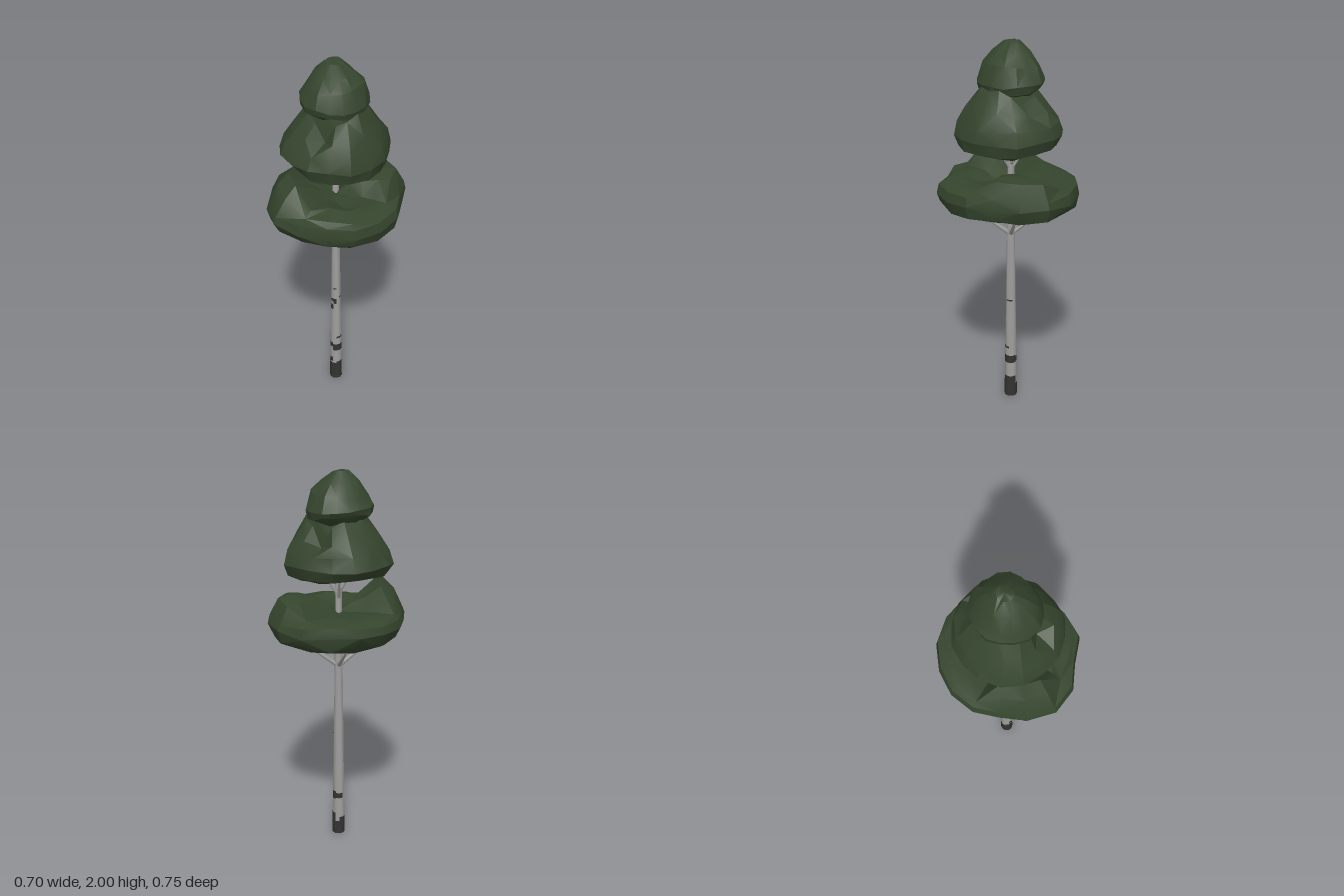
import * as THREE from 'three';
import { toCreasedNormals } from 'three/addons/utils/BufferGeometryUtils.js';

const leaf = new THREE.MeshStandardMaterial({ color: 0x35452d });
leaf.name = 'darkGreenLeaves';
const bark = new THREE.MeshStandardMaterial({ color: 0xa09e9c });
bark.name = 'paleBark';
const scar = new THREE.MeshStandardMaterial({ color: 0x343332 });
scar.name = 'darkBark';

const TX = -0.006, TZ = -0.012; // trunk axis
const SIDES = 10;

function seeded(seed) {
  return () => {
    seed = (seed * 16807) % 2147483647;
    return seed / 2147483647 - 0.5;
  };
}

function part(name, geometry, material) {
  const mesh = new THREE.Mesh(geometry, material);
  mesh.name = name;
  return mesh;
}

// Closed clump: one radial profile per angle, from top centre round to bottom centre.
function clump(name, outline, profile, { x = 0, z = 0, lean = 0, rough, seed }) {
  const n = outline.length, rnd = seeded(seed), pos = [], index = [];
  const rows = profile(0).length;
  for (let j = 0; j < rows; j++) {
    for (let i = 0; i < n; i++) {
      const a = (i / n) * Math.PI * 2;
      const [f, y] = profile(a)[j];
      const r = f * outline[i] * (f > 0.95 ? 1 : 1 + rnd() * rough * 5);
      pos.push(x + Math.cos(a) * r + lean * (1 - f), y + (f === 0 ? 0 : rnd() * rough), z + Math.sin(a) * r);
    }
  }
  for (let j = 0; j < rows - 1; j++) {
    for (let i = 0; i < n; i++) {
      const k = (i + 1) % n;
      const a = j * n + i, b = j * n + k, c = a + n, d = b + n;
      if (j === 0) index.push(a, d, c);
      else if (j === rows - 2) index.push(a, b, c);
      else if ((i + j) % 2) index.push(a, b, c, b, d, c);
      else index.push(a, b, d, a, d, c);
    }
  }
  const g = new THREE.BufferGeometry();
  g.setAttribute('position', new THREE.Float32BufferAttribute(pos, 3));
  g.setIndex(index);
  return part(name, toCreasedNormals(g, 0.45), leaf);
}

const trunkRadius = (y) => (y < 1 ? 0.034 - 0.013 * y : 0.021 - 0.012 * (y - 1));

// Tapered limb running between two points.
function limb(name, from, to, r0, r1) {
  const a = new THREE.Vector3(...from), b = new THREE.Vector3(...to);
  const dir = b.clone().sub(a);
  const mesh = part(name, new THREE.CylinderGeometry(r1, r0, dir.length(), 6), bark);
  mesh.position.copy(a).addScaledVector(dir, 0.5);
  mesh.quaternion.setFromUnitVectors(new THREE.Vector3(0, 1, 0), dir.normalize());
  return mesh;
}

// Thin dark patch hugging the trunk; whole facets so it follows the bark.
function barkPatch(y, h, firstSide, count) {
  const step = (Math.PI * 2) / SIDES;
  const g = new THREE.CylinderGeometry(trunkRadius(y + h) + 0.001, trunkRadius(y) + 0.001, h,
    count, 1, true, firstSide * step, count * step);
  const mesh = part('barkPatch', g, scar);
  mesh.position.set(TX, y + h / 2, TZ);
  return mesh;
}

export function createModel() {
  const tree = new THREE.Group();
  tree.name = 'tree';

  // Trunk with a dark underside
  const trunkProfile = [[0.034, 0], [0.021, 1], [0.014, 1.58], [0, 1.58]]
    .map(([r, y]) => new THREE.Vector2(r, y));
  const trunk = part('trunk', toCreasedNormals(new THREE.LatheGeometry(trunkProfile, SIDES), 0.7), bark);
  trunk.position.set(TX, 0, TZ);
  const foot = part('trunkFoot', new THREE.CircleGeometry(0.035, SIDES), scar);
  foot.rotation.x = Math.PI / 2;
  foot.position.set(TX, 0, TZ);
  tree.add(trunk, foot);

  // Dark base and scars: height, length, first facet, facets covered
  const patches = [
    [0, 0.075, 0, 10], [0.075, 0.04, 8, 3], [0.075, 0.05, 1, 4], [0.075, 0.025, 6, 2],
    [0.125, 0.03, 9, 1], [0.21, 0.045, 0, 5], [0.235, 0.03, 8, 2], [0.215, 0.03, 5, 2],
    [0.3, 0.012, 1, 2], [0.51, 0.035, 9, 1], [0.55, 0.035, 0, 1], [0.565, 0.02, 9, 1],
    [0.59, 0.008, 2, 2], [0.65, 0.008, 0, 1],
  ];
  for (const p of patches) tree.add(barkPatch(...p));

  // Lower branches
  const branches = new THREE.Group();
  branches.name = 'branches';
  for (let i = 0; i < 4; i++) {
    const a = Math.PI * (0.25 + i / 2) + 0.05;
    const at = (r, y) => [TX + Math.cos(a) * r, y, TZ + Math.sin(a) * r];
    branches.add(limb('lowerBranch', at(0.005, 0.98), at(0.085, 1.04), 0.013, 0.009));
    branches.add(limb('lowerBranch', at(0.083, 1.038), at(0.165, 1.1), 0.009, 0.005));
  }
  // Upper branches between the leaf tiers
  for (let i = 0; i < 5; i++) {
    const a = i * 1.257 + 0.4, y = 1.34 + (i % 3) * 0.02;
    const at = (r, h) => [TX + Math.cos(a) * r, h, TZ + Math.sin(a) * r];
    branches.add(limb('upperBranch', at(0.004, y), at(0.085, y + 0.13), 0.009, 0.004));
  }
  tree.add(branches);

  // Lower tier: two broad lobes split by a diagonal valley, hollow underneath
  const lowOutline = [0.355, 0.36, 0.37, 0.335, 0.37, 0.385, 0.36, 0.335,
    0.35, 0.357, 0.36, 0.37, 0.378, 0.385, 0.375, 0.335];
  tree.add(clump('lowerLeaves', lowOutline, (a) => {
    const lobe = Math.pow(Math.max(0, -Math.sin(2 * a)), 0.4);
    const crest = 1.3 + lobe * (Math.sin(a) > 0 ? 0.13 : 0.08);
    return [[0, 1.27], [0.2, 1.275 + 0.05 * lobe], [0.4, 1.285 + 0.075 * lobe], [0.64, crest],
      [0.85, 1.295 + 0.07 * lobe], [0.97, 1.275], [1, 1.23], [0.92, 1.17], [0.72, 1.13],
      [0.52, 1.165], [0.28, 1.225], [0, 1.245]];
  }, { rough: 0.024, seed: 11 }));

  // Middle tier: high on both sides with a gap running front to back, hollow underneath
  const midOutline = [0.27, 0.27, 0.275, 0.265, 0.27, 0.265, 0.28, 0.28,
    0.28, 0.275, 0.28, 0.275, 0.28, 0.28, 0.285, 0.265];
  tree.add(clump('middleLeaves', midOutline, (a) => {
    const lobe = Math.pow(Math.abs(Math.cos(a)), 0.52);
    const tilt = 0.012 * Math.cos(a);
    return [[0, 1.62], [0.2, 1.625 + 0.06 * lobe], [0.52, 1.635 + 0.15 * lobe],
      [0.74, 1.61 + 0.08 * lobe], [0.92, 1.6], [1, 1.535], [0.9, 1.48 - tilt],
      [0.66, 1.46 - tilt], [0.4, 1.51], [0, 1.55]];
  }, { lean: 0.04, rough: 0.018, seed: 23 }));

  // Crown
  const topOutline = [0.172, 0.17, 0.172, 0.175, 0.18, 0.178, 0.172, 0.17,
    0.172, 0.168, 0.165, 0.17, 0.18, 0.178, 0.175, 0.172];
  tree.add(clump('crownLeaves', topOutline, (a) => {
    const tip = 0.015 * Math.cos(a);
    return [[0, 2], [0.24, 1.99], [0.56, 1.94], [0.83, 1.88 + tip],
      [1, 1.81 - tip], [0.94, 1.775 - tip], [0.6, 1.74], [0, 1.73]];
  }, { x: -0.012, z: -0.01, lean: -0.008, rough: 0.016, seed: 5 }));

  return tree;
}
